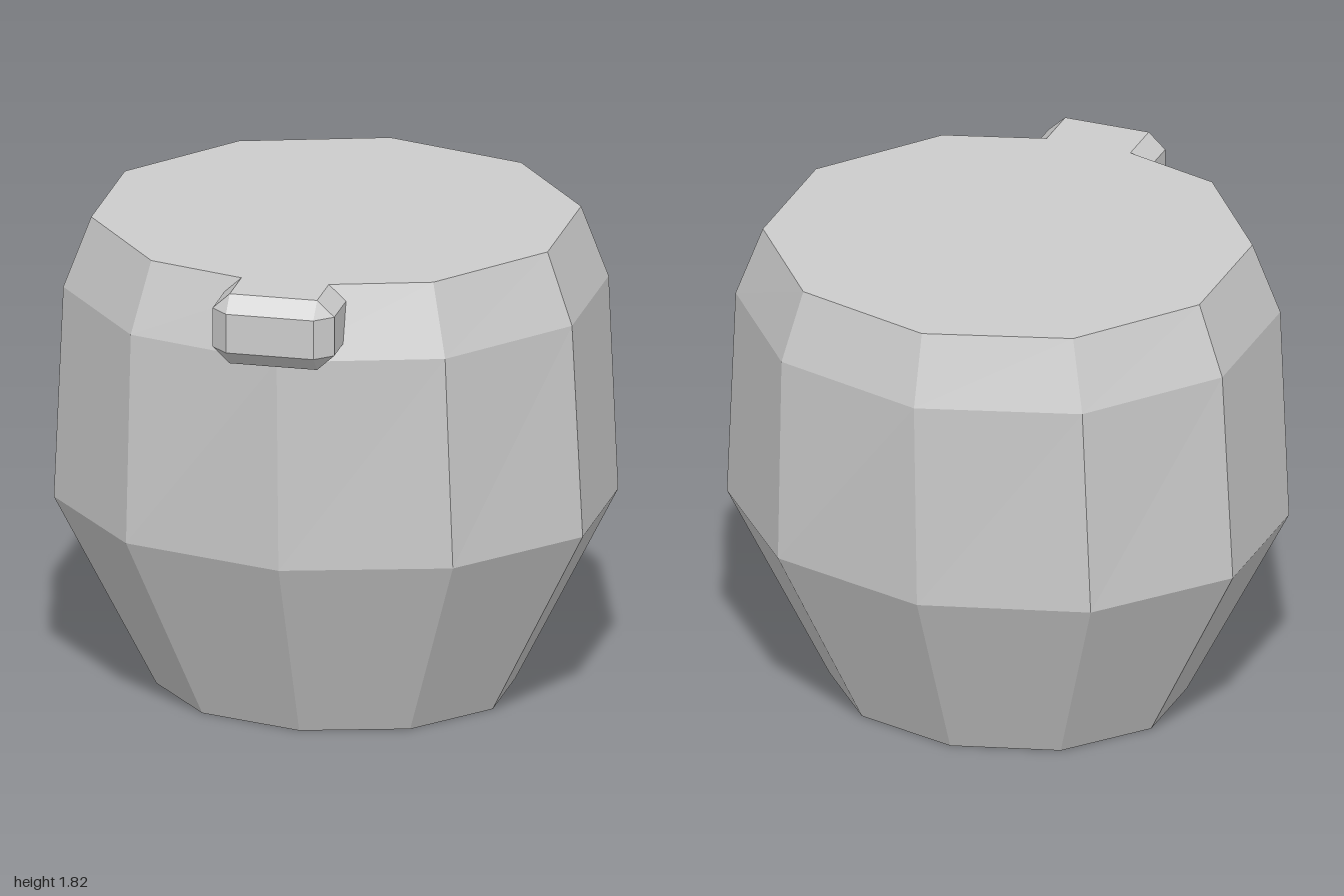
import * as THREE from 'three';
import { ConvexGeometry } from 'three/addons/geometries/ConvexGeometry.js';

const grey = new THREE.MeshStandardMaterial({ color: 0xcccccc, flatShading: true });
grey.name = 'plain grey';

// Ten-sided barrel: each ring is [height, x radius, z radius, z centre]
function makeBarrel() {
  const rings = [
    [0, 0.668, 0.583, -0.053],
    [0.73, 1.05, 0.915, -0.055],
    [1.55, 1.01, 0.945, -0.055],
    [1.82, 0.906, 0.863, -0.058],
  ];
  const geometry = new THREE.CylinderGeometry(1, 1, 1, 10, rings.length - 1).toNonIndexed();
  const p = geometry.attributes.position;
  for (let i = 0; i < p.count; i++) {
    const [y, rx, rz, cz] = rings[Math.round((p.getY(i) + 0.5) * (rings.length - 1))];
    p.setXYZ(i, p.getX(i) * rx, y, p.getZ(i) * rz + cz);
  }
  geometry.computeVertexNormals();
  return geometry;
}

// Bevelled block at the rim, its back end buried in the barrel
function makeSpout() {
  const points = [];
  for (const sx of [-1, 1]) {
    for (const sy of [-1, 1]) {
      const add = (x, y, z) => points.push(new THREE.Vector3(sx * x, 1.685 + sy * y, z));
      add(0.165, 0.075, 1);
      for (const z of [0.94, 0.745]) {
        add(0.165, 0.135, z);
        add(0.23, 0.075, z);
      }
    }
  }
  return new ConvexGeometry(points);
}

export function createModel() {
  const model = new THREE.Group();
  model.name = 'barrel with spout';
  const parts = { barrel: makeBarrel(), spout: makeSpout() };
  for (const [name, geometry] of Object.entries(parts)) {
    const mesh = new THREE.Mesh(geometry, grey);
    mesh.name = name;
    model.add(mesh);
  }
  return model;
}
